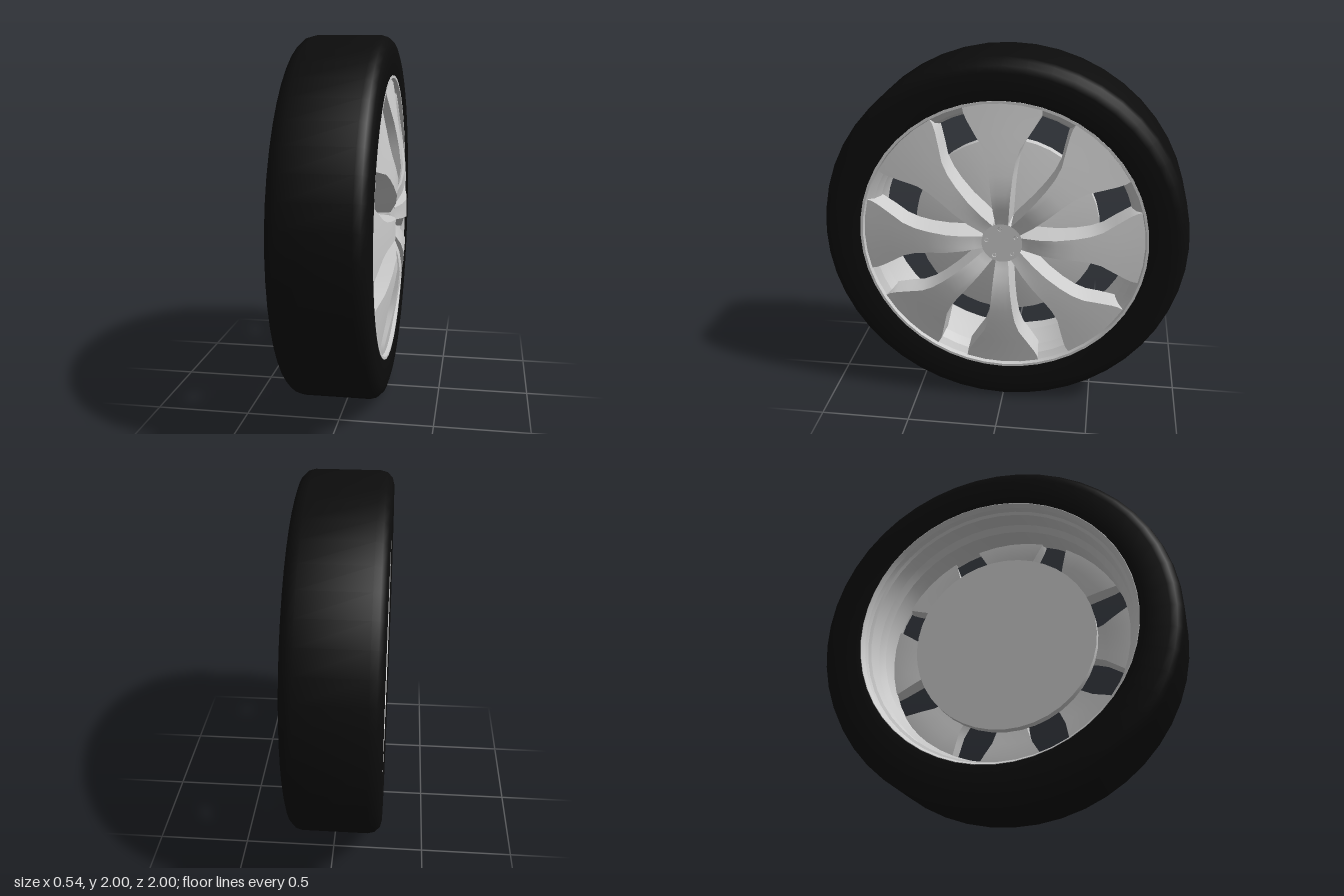
import * as THREE from 'three';
import { toCreasedNormals } from 'three/addons/utils/BufferGeometryUtils.js';

const grey = new THREE.MeshStandardMaterial({ color: 0xcccccc });
const black = new THREE.MeshStandardMaterial({ color: 0x0c0c0c });

function addMesh(parent, name, geometry, material = grey) {
  const mesh = new THREE.Mesh(geometry, material);
  mesh.name = name;
  parent.add(mesh);
  return mesh;
}

// Revolve a [radius, z] profile around the wheel axis (local z)
function turned(profile, segments, crease) {
  const points = profile.map(([r, z]) => new THREE.Vector2(r, z));
  const geometry = new THREE.LatheGeometry(points, segments);
  geometry.rotateX(Math.PI / 2);
  return toCreasedNormals(geometry, crease);
}

// Spoke stations: [radius, half width, front z, back z]
const stations = [
  [0.06, 0.022, 0.213, 0.08],
  [0.10, 0.033, 0.216, 0.08],
  [0.15, 0.038, 0.234, 0.085],
  [0.21, 0.044, 0.257, 0.10],
  [0.30, 0.052, 0.27, 0.125],
  [0.40, 0.062, 0.26, 0.125],
  [0.48, 0.075, 0.247, 0.115],
  [0.55, 0.098, 0.235, 0.105],
  [0.62, 0.138, 0.222, 0.095],
  [0.70, 0.182, 0.207, 0.09],
  [0.74, 0.2, 0.2, 0.09],
  [0.768, 0.206, 0.195, 0.09],
];

// Loft one spoke pointing up, with ends that follow the rim's arc
function spokeGeometry() {
  const positions = [], index = [], columns = [-1, -0.5, 0, 0.5, 1];
  const ring = columns.length * 2;
  for (const [r, half, front, back] of stations) {
    const place = (t, w, z) => {
      const a = t * Math.asin(w / r);
      positions.push(r * Math.sin(a), r * Math.cos(a), z);
    };
    columns.forEach((t) => place(t, half, front));
    columns.forEach((t) => place(-t, half + 0.012, back));
  }
  for (let i = 0; i < stations.length - 1; i++) {
    for (let k = 0; k < ring; k++) {
      const a = i * ring + k, b = i * ring + (k + 1) % ring;
      index.push(a, b, b + ring, a, b + ring, a + ring);
    }
  }
  const geometry = new THREE.BufferGeometry();
  geometry.setAttribute('position', new THREE.Float32BufferAttribute(positions, 3));
  geometry.setIndex(index);
  return toCreasedNormals(geometry, 0.5);
}

export function createModel() {
  const model = new THREE.Group();
  model.name = 'wheel';
  const wheel = new THREE.Group();
  wheel.name = 'wheelAssembly';
  wheel.rotation.y = Math.PI / 2; // local z axis becomes the axle along x
  wheel.position.y = 1;
  model.add(wheel);

  // Tyre with rounded shoulders
  addMesh(wheel, 'tyre', turned([
    [0.775, -0.262], [0.8, -0.268], [0.93, -0.27], [0.965, -0.26], [0.99, -0.235], [1, -0.2],
    [1, 0.15], [0.99, 0.185], [0.965, 0.21], [0.93, 0.22], [0.8, 0.218], [0.778, 0.21],
    [0.775, -0.262],
  ], 48, 0.7), black);

  // Rim barrel with stepped inside and thin lips
  addMesh(wheel, 'rimBarrel', turned([
    [0.787, -0.258], [0.787, 0.216], [0.773, 0.216], [0.768, 0.19], [0.738, 0.165],
    [0.715, 0.11], [0.705, 0], [0.705, -0.06], [0.735, -0.09], [0.74, -0.19],
    [0.755, -0.2], [0.758, -0.235], [0.772, -0.262], [0.787, -0.258],
  ], 48, 0.3));

  // Shallow cone-fronted disc behind the spokes
  addMesh(wheel, 'brakeDisc', turned([
    [0, -0.05], [0.52, -0.05], [0.52, 0], [0.12, 0.09], [0, 0.09],
  ], 40, 0.5));

  // Spokes
  const spoke = spokeGeometry();
  for (let i = 0; i < 8; i++) {
    addMesh(wheel, 'spoke', spoke).rotation.z = i * Math.PI / 4;
  }

  // Hub plate with five bolt holes, and a bolt sunk in each
  const plate = new THREE.Shape().absarc(0, 0, 0.112, 0, Math.PI * 2);
  const boltGeometry = new THREE.CylinderGeometry(0.008, 0.008, 0.03, 10).rotateX(Math.PI / 2);
  for (let i = 0; i < 5; i++) {
    const a = THREE.MathUtils.degToRad(97 + 72 * i);
    const x = 0.084 * Math.cos(a), y = 0.084 * Math.sin(a);
    plate.holes.push(new THREE.Path().absarc(x, y, 0.013, 0, Math.PI * 2, true));
    addMesh(wheel, 'bolt', boltGeometry).position.set(x, y, 0.202);
  }
  const hub = new THREE.ExtrudeGeometry(plate, { depth: 0.022, bevelEnabled: false, curveSegments: 16 });
  addMesh(wheel, 'hubPlate', hub).position.z = 0.198;
  const core = new THREE.CylinderGeometry(0.112, 0.125, 0.12, 32).rotateX(Math.PI / 2);
  addMesh(wheel, 'hubCore', core).position.z = 0.138;

  return model;
}
